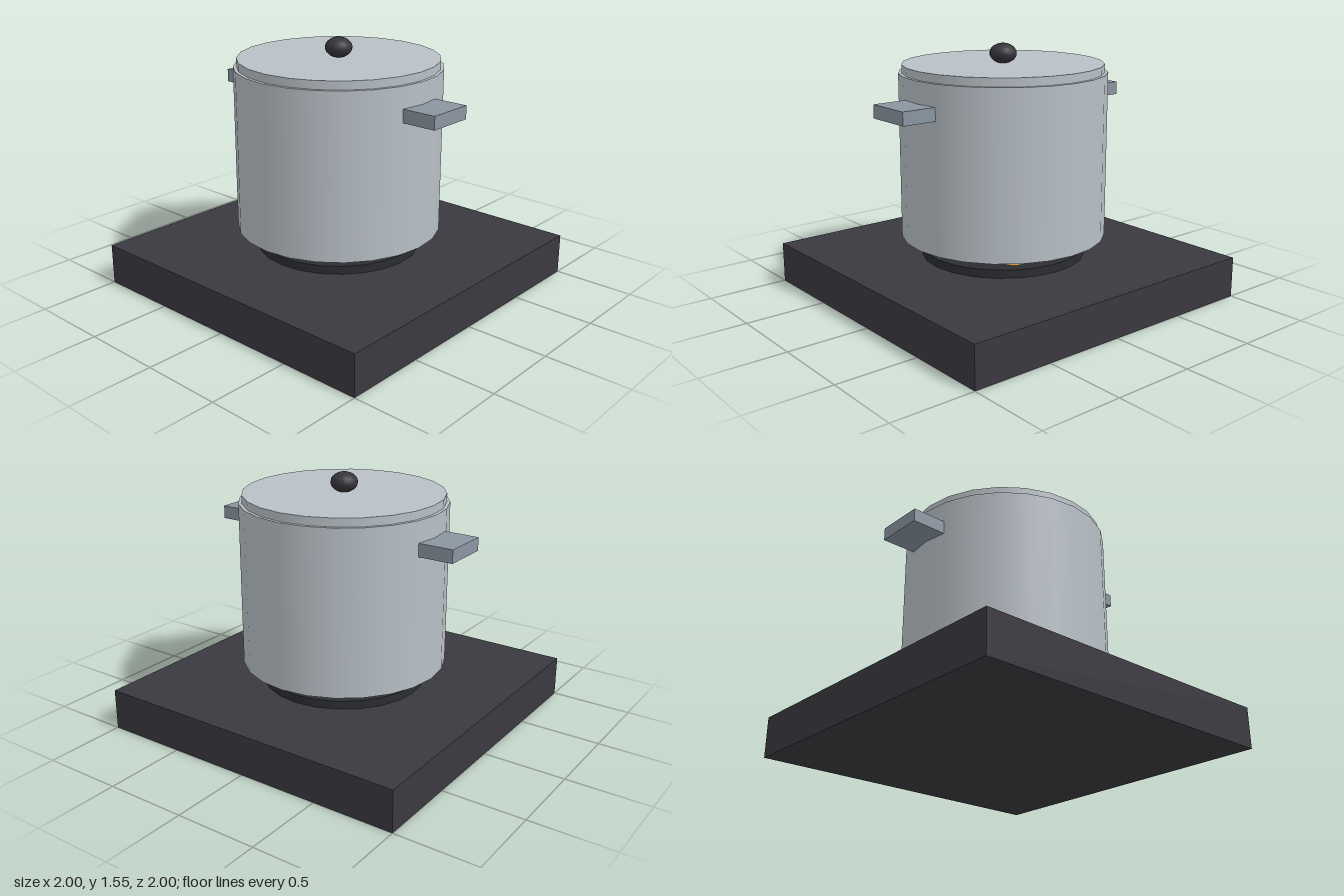
import * as THREE from 'three';

const mat = (name, color) => {
  const m = new THREE.MeshStandardMaterial({ color });
  m.name = name;
  return m;
};

export function createModel() {
  const steel = mat('brushed steel', 0xb8c0c6);
  const handleGrey = mat('handle grey', 0x8a95a1);
  const charcoal = mat('charcoal', 0x3b3940);
  const black = mat('burner black', 0x2b2d30);
  const knobBlack = mat('knob black', 0x35343a);
  const red = mat('flame red', 0xda5c50);
  const amber = mat('flame amber', 0xdba040);

  const model = new THREE.Group();
  model.name = 'potOnStove';
  const add = (name, geometry, material, x, y, z) => {
    const mesh = new THREE.Mesh(geometry, material);
    mesh.name = name;
    mesh.position.set(x, y, z);
    model.add(mesh);
    return mesh;
  };

  // Stove slab and burner plate
  add('stoveBase', new THREE.BoxGeometry(2, 0.25, 2), charcoal, 0, 0.125, 0);
  add('burner', new THREE.CylinderGeometry(0.5, 0.5, 0.05, 24), black, 0, 0.275, 0);

  // Ring of six flames, alternating colours
  const flame = new THREE.ConeGeometry(0.06, 0.2, 8);
  for (let i = 0; i < 6; i++) {
    const a = (i * Math.PI) / 3;
    add('flame' + (i + 1), flame, i % 2 ? amber : red, 0.375 * Math.cos(a), 0.38, 0.375 * Math.sin(a));
  }

  // Pot, lid and knob
  add('pot', new THREE.CylinderGeometry(0.625, 0.625, 1, 24), steel, 0, 0.88, 0);
  add('lid', new THREE.CylinderGeometry(0.605, 0.605, 0.05, 24), steel, 0, 1.405, 0);
  add('lidKnob', new THREE.SphereGeometry(0.082, 16, 12), knobBlack, 0, 1.486, 0).scale.y = 0.74;

  // Side handles
  const handle = new THREE.BoxGeometry(0.25, 0.08, 0.295);
  for (const side of [-1, 1]) {
    add(side > 0 ? 'leftHandle' : 'rightHandle', handle, handleGrey, side * 0.695, 1.21, 0);
  }
  return model;
}
